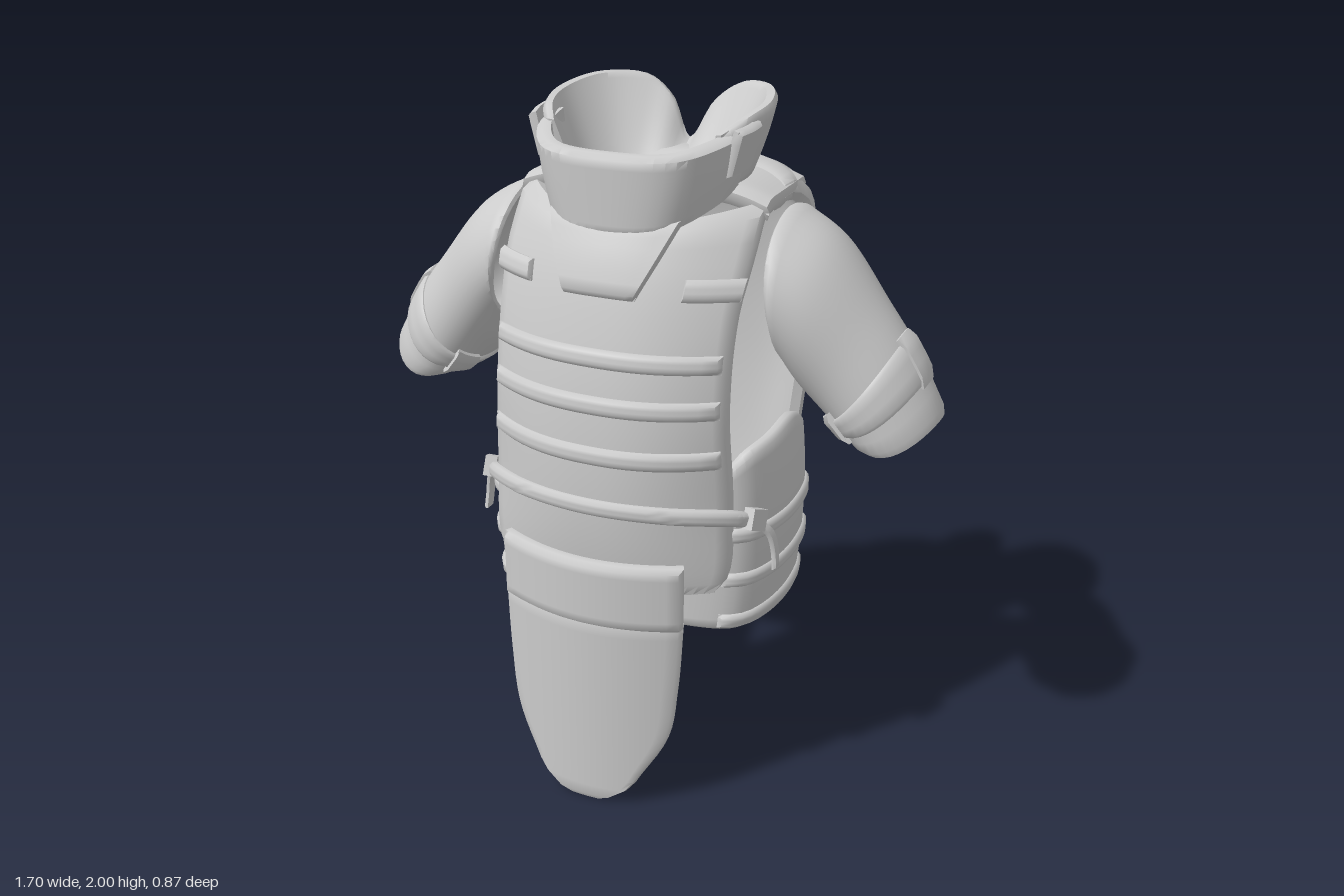
import * as THREE from 'three';
import { toCreasedNormals } from 'three/addons/utils/BufferGeometryUtils.js';

const V = (x, y, z) => new THREE.Vector3(x, y, z);
const lerp = THREE.MathUtils.lerp;
const material = new THREE.MeshStandardMaterial({ color: 0xcccccc, side: THREE.DoubleSide });

// Smooth table lookup: the first number of each row is the key
function table(rows) {
  const width = rows[0].length - 1;
  const it = new THREE.CubicInterpolant(rows.map(r => r[0]), rows.flatMap(r => r.slice(1)), width, new Array(width));
  return k => Array.from(it.evaluate(THREE.MathUtils.clamp(k, rows[0][0], rows[rows.length - 1][0])));
}

// Grid fractions with a narrow cell at both borders for a rounded rim
const spread = (n, rim) => [0, ...Array.from({ length: n - 1 }, (_, i) => lerp(rim, 1 - rim, i / (n - 2))), 1];

// Padded sheet: surface f(u, v) given thickness, a softened rim and closed edges
function shell(f, { range = [0, 1, 0, 1], th = 0.04, lift = 0, nu = 24, nv = 20, rimU = 0.025, rimV = 0.025, closed = false, inner = null } = {}) {
  const [u0, u1, v0, v1] = range;
  const g = (a, b) => f(lerp(u0, u1, a), lerp(v0, v1, b));
  const us = closed ? Array.from({ length: nu + 1 }, (_, i) => i / nu) : spread(nu, rimU);
  const vs = spread(nv, rimV), e = 1e-3, out = [], back = [], pos = [];
  const cl = t => THREE.MathUtils.clamp(t, 0, 1);
  us.forEach((a, i) => vs.forEach((b, j) => {
    const du = g(closed ? a + e : cl(a + e), b).sub(g(closed ? a - e : cl(a - e), b));
    const dv = g(a, cl(b + e)).sub(g(a, cl(b - e)));
    const n = du.cross(dv).normalize(), p = g(a, b);
    const rim = j === 0 || j === nv || (!closed && (i === 0 || i === nu));
    out.push(p.clone().addScaledVector(n, lift - (rim ? th * 0.4 : 0)));
    back.push(inner ? inner(a, b) : p.clone().addScaledVector(n, lift - th));
  }));
  const id = (i, j) => i * (nv + 1) + j;
  const quad = (a, b, c, d) => [a, b, c, a, c, d].forEach(p => pos.push(p.x, p.y, p.z));
  const wall = (m, n) => quad(out[m], back[m], back[n], out[n]);
  for (let i = 0; i < nu; i++) for (let j = 0; j < nv; j++) {
    const k = [id(i, j), id(i + 1, j), id(i + 1, j + 1), id(i, j + 1)];
    quad(...k.map(n => out[n]));
    quad(...k.reverse().map(n => back[n]));
  }
  for (let i = 0; i < nu; i++) { wall(id(i, 0), id(i + 1, 0)); wall(id(i + 1, nv), id(i, nv)); }
  if (!closed) for (let j = 0; j < nv; j++) { wall(id(nu, j), id(nu, j + 1)); wall(id(0, j + 1), id(0, j)); }
  const geo = new THREE.BufferGeometry();
  geo.setAttribute('position', new THREE.Float32BufferAttribute(pos, 3));
  return toCreasedNormals(geo, 0.9);
}

// Torso half: rows are height key, centre y, centre z, edge y, edge z, half width
function torso(rows, dir, powerY, powerZ) {
  const at = table(rows);
  return (u, k) => {
    const [yc, zc, ye, ze, hw] = at(k), s = Math.abs(2 * u - 1);
    return V(dir * (2 * u - 1) * hw, lerp(yc, ye, s ** powerY), lerp(zc, ze, s ** powerZ));
  };
}
const front = torso([
  [0.66, 0.66, 0.36, 0.69, 0.28, 0.33], [0.72, 0.72, 0.375, 0.73, 0.26, 0.365],
  [0.95, 0.95, 0.395, 0.95, 0.24, 0.375], [1.25, 1.25, 0.375, 1.25, 0.25, 0.36],
  [1.5, 1.5, 0.32, 1.495, 0.20, 0.36], [1.62, 1.62, 0.28, 1.62, 0.13, 0.37],
  [1.72, 1.71, 0.235, 1.765, 0.01, 0.37]], 1, 1.4, 2.3);
const rear = torso([
  [0.58, 0.58, -0.37, 0.60, -0.30, 0.35], [0.9, 0.9, -0.42, 0.9, -0.285, 0.375],
  [1.24, 1.24, -0.435, 1.24, -0.325, 0.395], [1.55, 1.55, -0.405, 1.54, -0.32, 0.4],
  [1.72, 1.74, -0.35, 1.70, -0.27, 0.395], [1.8, 1.81, -0.29, 1.75, -0.18, 0.38],
  [1.9, 1.80, -0.16, 1.755, -0.05, 0.37]], -1, 4, 5);

// Side panel: plan outline, top and bottom edge, running from front to back
const sidePlan = table([
  [0, 0, 0.26, 0.86, 0.55], [0.2, 0.27, 0.245, 0.98, 0.55], [0.32, 0.385, 0.205, 1.085, 0.55], [0.45, 0.435, 0.1, 1.115, 0.55],
  [0.74, 0.44, -0.14, 1.105, 0.55], [0.84, 0.415, -0.22, 1.02, 0.56], [0.92, 0.385, -0.27, 0.88, 0.575], [1, 0.33, -0.33, 0.86, 0.59]]);
const sideAt = (u, y) => {
  const [x, z] = sidePlan(u);
  return V(x * (1 - 0.6 * (y - 0.83) ** 2), y, z);
};
const sidePanel = (u, v) => {
  const [, , top, bottom] = sidePlan(u);
  return sideAt(u, lerp(bottom, top, v));
};

// Sleeve: rows are length key, outer x y, inner x y, centre z, half depth
const sleeveRows = table([
  [0, 0.39, 1.73, 0.425, 1.31, -0.075, 0.245], [0.3, 0.53, 1.65, 0.465, 1.24, -0.07, 0.222],
  [0.6, 0.665, 1.49, 0.52, 1.185, -0.065, 0.188], [0.8, 0.76, 1.365, 0.56, 1.155, -0.06, 0.172],
  [1, 0.855, 1.2, 0.605, 1.13, -0.055, 0.158]]);
const sleeve = (u, v) => {
  const [xo, yo, xi, yi, zc, zh] = sleeveRows(v), a = u * Math.PI * 2, c = (1 + Math.cos(a)) / 2;
  return V(lerp(xi, xo, c), lerp(yi, yo, c) - 0.05 * v * v * Math.sin(a) ** 2, zc + zh * Math.sin(a));
};

// Shoulder yoke over each side of the neck
const yoke = (u, v) => {
  const x = lerp(0.19, 0.372, u), z = lerp(0.05, -0.26, v);
  return V(x, 1.795 - 1.2 * (x - 0.19) ** 2 - 6 * Math.max(0, z + 0.01) ** 2, z);
};

// Curve through half a symmetric point list, mirrored over x
const arch = half => new THREE.CatmullRomCurve3([
  ...half.map(p => V(...p)), ...half.slice(0, -1).reverse().map(p => V(-p[0], p[1], p[2]))]);
const between = (low, high, bulge) => (u, v) => low.getPoint(u).lerp(high.getPoint(u), v)
  .multiply(V(1 + bulge * Math.sin(v * Math.PI), 1, 1));
const ribbon = (points, w) => {
  const curve = new THREE.CatmullRomCurve3(points.map(p => V(...p)));
  return (u, v) => curve.getPoint(u).addScaledVector(w, v - 0.5);
};

export function createModel() {
  const model = new THREE.Group();
  const add = (name, geo) => {
    const mesh = new THREE.Mesh(geo, material);
    mesh.name = name;
    model.add(mesh);
    return mesh;
  };
  const strip = { th: 0.025, lift: 0.016, nu: 20, nv: 5, rimU: 0.02, rimV: 0.2 };
  const pair = (name, f, opts) => {
    add('left' + name, shell(f, opts));
    const flipped = (u, v) => f(1 - u, v).multiply(V(-1, 1, 1));
    const r = opts.range;
    add('right' + name, shell(flipped, r ? { ...opts, range: [1 - r[1], 1 - r[0], r[2], r[3]] } : opts));
  };

  // Torso panels
  add('frontPanel', shell(front, { range: [0, 1, 0.66, 1.72], th: 0.06, nu: 28, nv: 28 }));
  add('backPanel', shell(rear, { range: [0, 1, 0.58, 1.9], th: 0.05, nu: 32, nv: 30 }));
  pair('ShoulderYoke', yoke, { th: 0.04, nu: 10, nv: 12, rimU: 0.06 });
  pair('SidePanel', sidePanel, { th: 0.03, nu: 32, rimU: 0.005 });

  // Webbing rows
  [1.11, 1.25, 1.375].forEach((y, i) =>
    add('frontWebbing' + (i + 1), shell(front, { ...strip, range: [0.04, 0.96, y - 0.025, y + 0.025] })));
  [0.64, 0.73, 0.82, 0.91].forEach((y, i) =>
    add('backWebbing' + (i + 1), shell(rear, { ...strip, lift: 0.01, range: [0.06, 0.94, y - 0.025, y + 0.025] })));
  [0.585, 0.72, 0.86].forEach((y, i) =>
    pair('SideWebbing' + (i + 1), sideAt, { ...strip, lift: 0.012, range: [0.26, 0.84, y - 0.022, y + 0.022] }));
  pair('ChestPatch', front, { ...strip, range: [0.8, 0.985, 1.535, 1.59] });

  // Throat flap under the collar
  add('throatFlap', shell((u, v) => front(0.5 + (u - 0.5) * lerp(0.28, 0.52, v), lerp(1.53, 1.72, v)),
    { th: 0.035, lift: 0.02, nu: 12, nv: 8, rimV: 0.06 }));

  // Rear collar, flared and notched at the centre
  const low = arch([[0.23, 1.75, 0.06], [0.255, 1.765, 0], [0.255, 1.78, -0.12], [0.22, 1.79, -0.22],
    [0.14, 1.80, -0.275], [0.07, 1.80, -0.288], [0, 1.80, -0.29]]);
  const high = arch([[0.26, 1.93, 0.10], [0.305, 1.965, 0.02], [0.32, 1.985, -0.12], [0.265, 2.0, -0.26],
    [0.15, 1.985, -0.342], [0.07, 1.93, -0.34], [0, 1.82, -0.305]]);
  const lowIn = arch([[0.18, 1.75, 0.06], [0.185, 1.75, 0], [0.175, 1.75, -0.06], [0.145, 1.75, -0.11],
    [0.1, 1.75, -0.14], [0.05, 1.75, -0.152], [0, 1.75, -0.155]]);
  const collarIn = (u, v) => lowIn.getPoint(u).lerp(high.getPoint(u).multiply(V(0.9, 1, 0.92)), v);
  add('rearCollar', shell(between(low, high, 0.02), { inner: collarIn, th: 0.03, nu: 52, nv: 10, rimV: 0.06 }));

  // Front collar
  const frontLow = arch([[-0.265, 1.78, -0.01], [-0.25, 1.745, 0.1], [-0.145, 1.685, 0.235], [0, 1.672, 0.265]]);
  const frontHigh = arch([[-0.295, 1.94, 0], [-0.28, 1.925, 0.1], [-0.19, 1.9, 0.235], [0, 1.895, 0.27]]);
  add('frontCollar', shell(between(frontLow, frontHigh, 0.02), { th: 0.04, nu: 36, nv: 10, rimV: 0.06 }));
  pair('CollarTab', ribbon([[0.283, 1.885, 0.1], [0.298, 1.89, 0.04], [0.3, 1.895, -0.01]], V(0.03, 0.12, 0)),
    { th: 0.025, lift: 0.012, nu: 8, nv: 6, rimU: 0.06, rimV: 0.06 });

  // Sleeves with cuff bands and fastening tabs
  pair('Sleeve', sleeve, { th: 0.02, nu: 36, nv: 20, closed: true });
  pair('CuffBand', sleeve, { range: [0, 1, 0.74, 0.88], th: 0.016, lift: 0.01, nu: 36, nv: 5, rimV: 0.1, closed: true });
  pair('CuffFrontTab', sleeve, { ...strip, range: [0.34, 0.42, 0.68, 0.92], lift: 0.02, nu: 6 });
  pair('CuffOuterTab', sleeve, { ...strip, range: [-0.03, 0.05, 0.72, 0.89], lift: 0.017, nu: 6 });

  // Waist strap, buckles and hanging ends
  const waist = [[-0.43, 0.89, 0.16], [-0.385, 0.93, 0.26], [-0.22, 0.955, 0.375], [0, 0.96, 0.415],
    [0.22, 0.955, 0.375], [0.385, 0.93, 0.26], [0.43, 0.89, 0.16]];
  add('waistStrap', shell(ribbon(waist, V(0, 0.045, 0)), { th: 0.025, nu: 40, nv: 5, rimU: 0.01, rimV: 0.2 }));
  pair('StrapEnd', ribbon([[0.42, 0.9, 0.18], [0.45, 0.86, 0.155], [0.463, 0.8, 0.145], [0.468, 0.75, 0.15]], V(0, 0, -0.035)),
    { th: 0.012, nu: 12, nv: 4, rimV: 0.1 });
  for (const s of [1, -1]) {
    const buckle = add(s > 0 ? 'leftBuckle' : 'rightBuckle', new THREE.BoxGeometry(0.035, 0.06, 0.06));
    buckle.position.set(s * 0.415, 0.915, 0.2);
    buckle.rotation.set(-0.4, -s * 0.35, 0);
  }

  // Groin guard: upper band and tapered plate
  const halfWidth = table([[0, 0.045], [0.03, 0.11], [0.13, 0.188], [0.24, 0.248], [0.4, 0.272], [0.62, 0.285]]);
  add('groinBand', shell((u, v) => {
    const x = (2 * u - 1) * 0.285;
    return V(x - 0.01, lerp(0.6, 0.8, v), 0.435 - 0.9 * x * x);
  }, { th: 0.035, nu: 20, nv: 10, rimV: 0.06 }));
  add('groinPlate', shell((u, y) => {
    const x = (2 * u - 1) * halfWidth(y)[0];
    return V(x - 0.015, y, 0.428 - 1.0 * x * x);
  }, { range: [0, 1, 0, 0.62], th: 0.02, nu: 20, nv: 20 }));

  return model;
}
